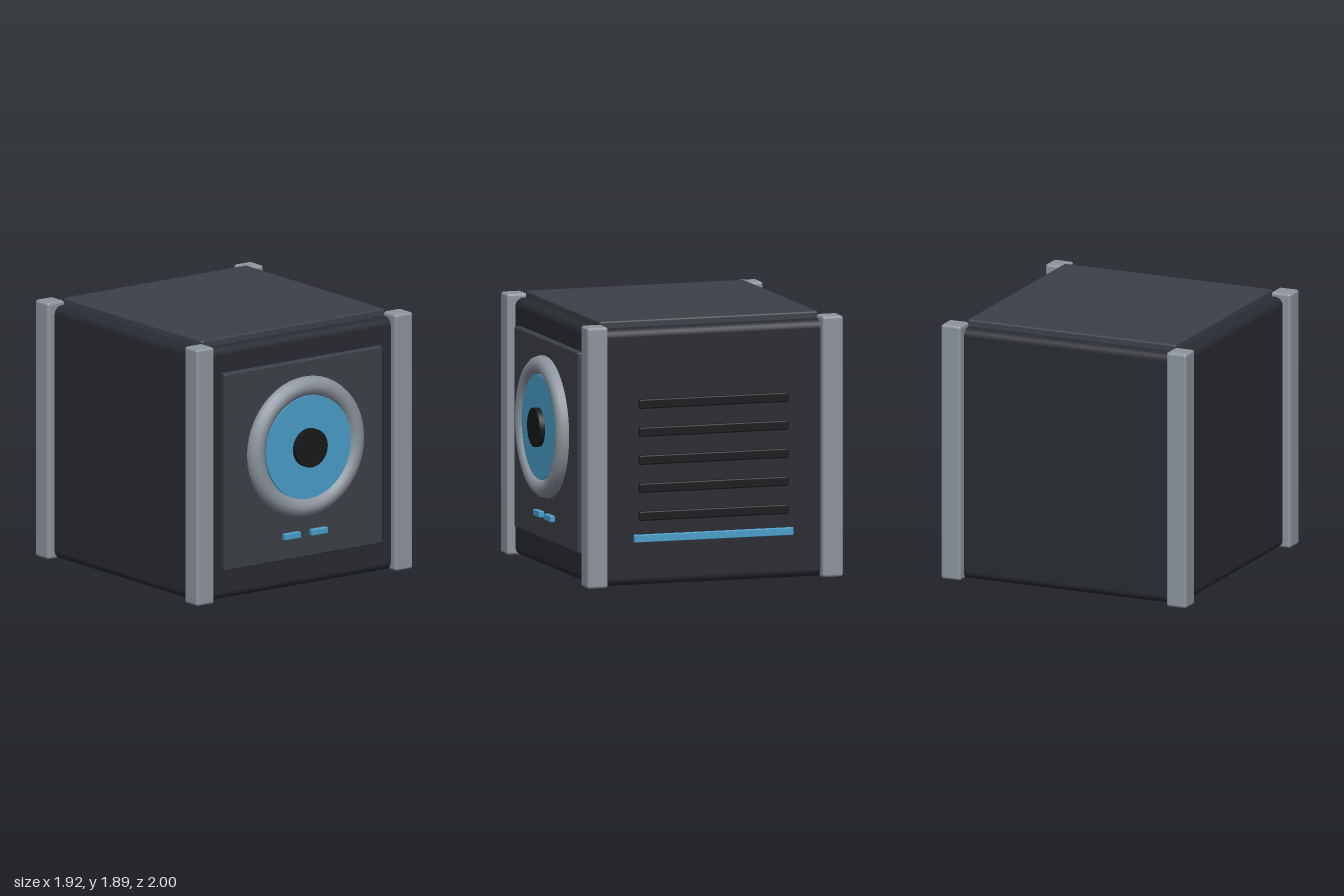
import * as THREE from 'three';
import { RoundedBoxGeometry } from 'three/addons/geometries/RoundedBoxGeometry.js';

const paint = (color) => new THREE.MeshStandardMaterial({ color });

export function createModel() {
  const model = new THREE.Group();
  const shell = paint(0x282b31), panel = paint(0x3c4046), metal = paint(0x8c949e);
  const blue = paint(0x4a9eca), black = paint(0x17191a);

  const add = (name, geometry, material, x, y, z) => {
    const mesh = new THREE.Mesh(geometry, material);
    mesh.name = name;
    mesh.position.set(x, y, z);
    model.add(mesh);
    return mesh;
  };
  // Rounded box given by its two extreme corners
  const block = (name, material, [x0, y0, z0], [x1, y1, z1], radius) =>
    add(name, new RoundedBoxGeometry(x1 - x0, y1 - y0, z1 - z0, 3, radius), material,
      (x0 + x1) / 2, (y0 + y1) / 2, (z0 + z1) / 2);
  // Disc facing the front
  const disc = (name, material, radius, z0, z1) => {
    const geometry = new THREE.CylinderGeometry(radius, radius, z1 - z0, 48).rotateX(Math.PI / 2);
    return add(name, geometry, material, 0, 1.04, (z0 + z1) / 2);
  };

  // Case, lid and front panel
  block('body', shell, [-0.9, 0.005, -0.94], [0.9, 1.85, 0.86], 0.06);
  block('lid', panel, [-0.815, 1.8, -0.86], [0.815, 1.9, 0.78], 0.015);
  block('frontPanel', panel, [-0.7, 0.225, 0.82], [0.7, 1.665, 0.905], 0.012);

  // Corner posts
  for (const x of [-0.96, 0.805]) {
    for (const z of [-1, 0.765]) {
      block('cornerPost', metal, [x, 0.005, z], [x + 0.155, 1.88, z + 0.155], 0.02);
    }
  }

  // Round eye: ring, iris and pupil
  add('eyeRing', new THREE.TorusGeometry(0.44, 0.07, 12, 48), metal, 0, 1.04, 0.917);
  disc('iris', blue, 0.376, 0.89, 0.96);
  disc('pupil', black, 0.14, 0.94, 1.0);

  // Indicator lights under the eye
  for (const x of [-0.19, 0.05]) {
    block('indicatorLight', blue, [x, 0.38, 0.89], [x + 0.14, 0.425, 0.94], 0.006);
  }

  // Vents and light strip on the left side
  for (let i = 0; i < 5; i++) {
    const y = 0.505 + i * 0.201;
    block('ventSlat', black, [0.87, y - 0.034, -0.6], [0.925, y + 0.034, 0.52], 0.01);
  }
  block('lightStrip', blue, [0.88, 0.318, -0.637], [0.93, 0.372, 0.558], 0.005);

  return model;
}
